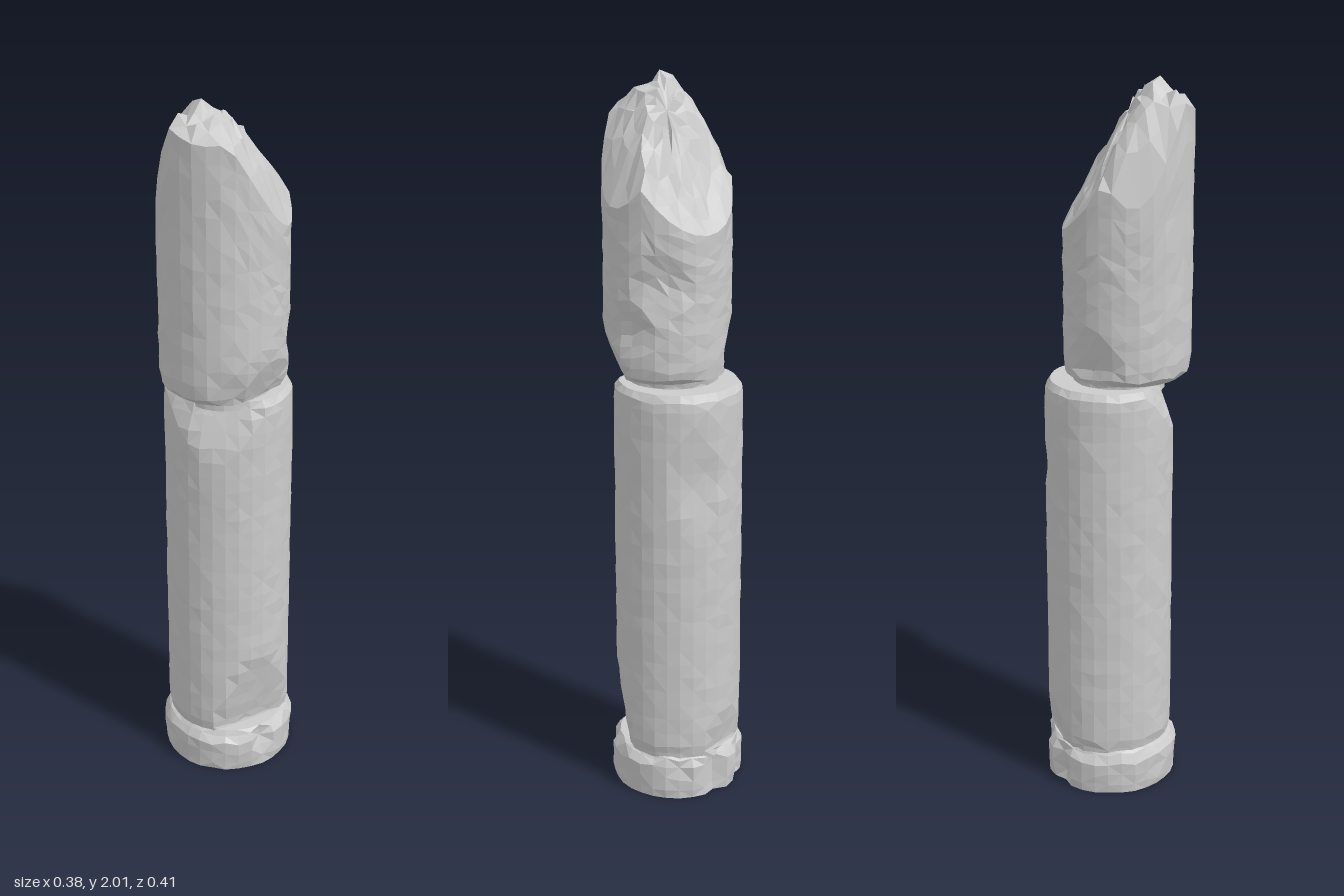
import * as THREE from 'three';

const SIDES = 30;
let seed = 7;
const rand = () => ((seed = (seed * 16807) % 2147483647) / 2147483647) - 0.5;
const deg = THREE.MathUtils.degToRad;

// straight-line interpolation through [position, value] pairs
function along(points, t) {
  if (t <= points[0][0]) return points[0][1];
  for (let i = 1; i < points.length; i++) {
    const [a, va] = points[i - 1], [b, vb] = points[i];
    if (t <= b) return va + (vb - va) * (t - a) / (b - a);
  }
  return points[points.length - 1][1];
}

// Radius left after the chips. angle: degrees from +z toward +x, y: deepest height,
// d: distance left there, s: growth per height, w: growth per radian (notch, not flat cut).
function chipped(r, theta, y, chips) {
  for (const c of chips) {
    let da = theta - deg(c.angle);
    da = Math.abs(Math.atan2(Math.sin(da), Math.cos(da)));
    const d = c.d + c.s * Math.abs(y - c.y);
    if (c.w) r = Math.min(r, d + c.w * da);
    else if (da < 1.2) r = Math.min(r, d / Math.cos(da));
  }
  return r;
}

// Closed stone drum: rows of [y, radius], optional broken top height(x, z)
function drum(name, { rows, z, chips = [], height, rough = 0.004, capRings = 1 }) {
  const pos = [], index = [];
  const yLow = rows[0][0], yHigh = rows[rows.length - 1][0];
  rows.forEach(([rowY, rowR], k) => {
    for (let i = 0; i < SIDES; i++) {
      const a = (i / SIDES) * Math.PI * 2;
      let y = rowY;
      if (height) {
        const rim = height(Math.sin(a) * rowR, z + Math.cos(a) * rowR);
        y = yLow + (rim - yLow) * (rowY - yLow) / (yHigh - yLow);
      }
      const inner = k > 0 && k < rows.length - 1;
      if (inner) y += rand() * rough * 3;
      const r = chipped(rowR, a, y, chips) + rand() * rough;
      pos.push(Math.sin(a) * r, y, z + Math.cos(a) * r);
    }
  });
  // rings of the top surface, shrinking to the middle
  const rimStart = (rows.length - 1) * SIDES;
  for (let k = 1; k < capRings; k++) {
    const f = 1 - k / capRings;
    for (let i = 0; i < SIDES; i++) {
      const x = pos[(rimStart + i) * 3] * f;
      const pz = z + (pos[(rimStart + i) * 3 + 2] - z) * f;
      pos.push(x, height ? height(x, pz) + rand() * 0.03 : yHigh, pz);
    }
  }
  const rings = rows.length + capRings - 1;
  for (let k = 0; k < rings - 1; k++) {
    for (let i = 0; i < SIDES; i++) {
      const j = (i + 1) % SIDES;
      const a = k * SIDES + i, b = k * SIDES + j, c = a + SIDES, d = b + SIDES;
      if ((i + k) % 2) index.push(a, b, d, a, d, c);
      else index.push(a, b, c, b, d, c);
    }
  }
  const bottom = pos.length / 3, top = bottom + 1, last = (rings - 1) * SIDES;
  pos.push(0, yLow, z, 0, height ? height(0, z) : yHigh, z);
  for (let i = 0; i < SIDES; i++) {
    const j = (i + 1) % SIDES;
    index.push(bottom, j, i, top, last + i, last + j);
  }
  const geo = new THREE.BufferGeometry();
  geo.setAttribute('position', new THREE.Float32BufferAttribute(pos, 3));
  geo.setIndex(index);
  const flat = geo.toNonIndexed();
  flat.computeVertexNormals();
  const mesh = new THREE.Mesh(flat, new THREE.MeshStandardMaterial({ color: 0xcccccc, flatShading: true }));
  mesh.name = name;
  return mesh;
}

// evenly spaced rows between two heights
const shaft = (y0, y1, n, r) =>
  Array.from({ length: n }, (_, i) => [y0 + (y1 - y0) * i / (n - 1), r]);

export function createModel() {
  const group = new THREE.Group();
  group.name = 'brokenColumn';

  // Foot ring with notches
  group.add(drum('baseRing', {
    z: -0.017,
    rows: [[0, 0.184], [0.025, 0.188], [0.06, 0.189], [0.095, 0.19], [0.12, 0.176], [0.13, 0.165]],
    chips: [
      { angle: 178, y: 0.06, d: 0.155, s: 0.1, w: 0.12 },
      { angle: 215, y: 0.03, d: 0.16, s: 0.2, w: 0.15 },
      { angle: 140, y: 0.09, d: 0.165, s: 0.3, w: 0.15 },
      { angle: 48, y: 0.1, d: 0.16, s: 0.35, w: 0.16 },
    ],
    rough: 0.005,
  }));

  // Long lower drum, offset to the back
  group.add(drum('lowerDrum', {
    z: -0.02,
    rows: [[0.11, 0.168], [0.135, 0.172], ...shaft(0.16, 1.15, 24, 0.177), [1.175, 0.174], [1.195, 0.162]],
    chips: [
      { angle: 46, y: 0.14, d: 0.125, s: 0.21 },
      { angle: 4, y: 1.2, d: 0.125, s: 0.33 },
      { angle: -25, y: 1.2, d: 0.14, s: 0.35 },
      { angle: 160, y: 0.95, d: 0.16, s: 0.1 },
      { angle: 195, y: 0.14, d: 0.155, s: 0.2 },
    ],
    rough: 0.003,
  }));

  // Narrow joint between the drums
  group.add(drum('joint', { z: 0.005, rows: [[1.17, 0.125], [1.2, 0.125], [1.25, 0.135]] }));

  // Upper drum, offset to the front, snapped off along a steep slope
  const acrossX = [[-0.18, 1.66], [-0.14, 1.85], [-0.1, 1.95], [-0.04, 2], [0.02, 1.97],
    [0.08, 1.88], [0.12, 1.8], [0.18, 1.66]];
  const acrossZ = [[-0.15, 1.6], [-0.12, 1.64], [-0.07, 1.71], [-0.02, 1.81], [0.03, 1.91],
    [0.07, 1.98], [0.1, 2], [0.16, 1.96], [0.21, 1.91]];
  group.add(drum('upperDrum', {
    z: 0.03,
    rows: [[1.21, 0.15], [1.23, 0.169], ...shaft(1.27, 1.9, 15, 0.174)],
    height: (x, z) => Math.min(along(acrossX, x), along(acrossZ, z)),
    capRings: 6,
    chips: [
      { angle: 62, y: 1.21, d: 0.125, s: 0.4 },
      { angle: 25, y: 1.22, d: 0.15, s: 0.25 },
      { angle: 110, y: 1.35, d: 0.158, s: 0.2 },
      { angle: 138, y: 1.48, d: 0.153, s: 0.2 },
      { angle: 230, y: 1.25, d: 0.15, s: 0.2 },
    ],
    rough: 0.004,
  }));

  return group;
}
